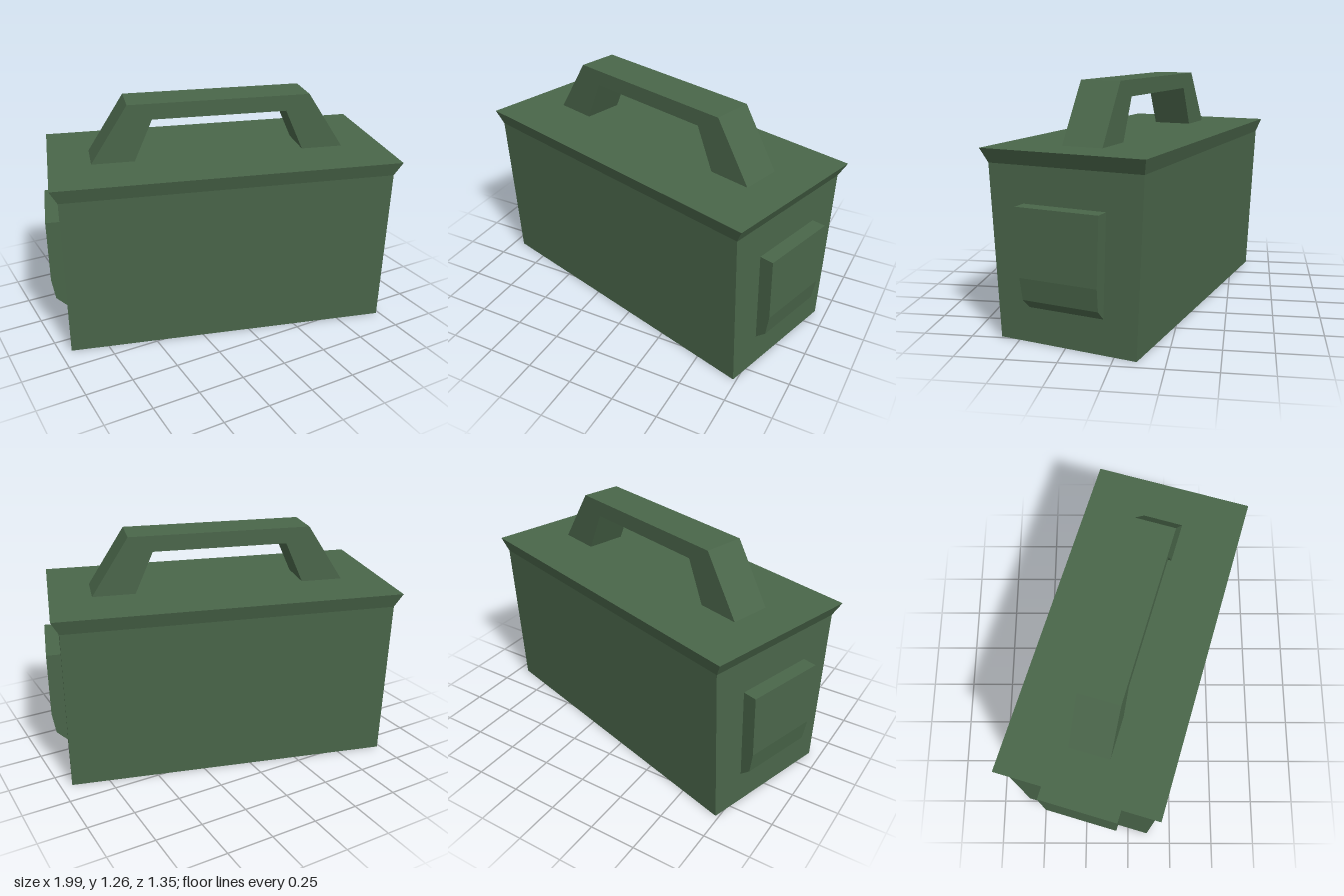
import * as THREE from 'three';

const green = new THREE.MeshStandardMaterial({ color: 0x4a664a, flatShading: true });

function part(name, geometry) {
  const mesh = new THREE.Mesh(geometry, green);
  mesh.name = name;
  return mesh;
}

// Extrudes an outline in the xy plane, centred on z = 0
function extrude(points, depth) {
  const shape = new THREE.Shape(points.map(([x, y]) => new THREE.Vector2(x, y)));
  return new THREE.ExtrudeGeometry(shape, { depth, bevelEnabled: false }).translate(0, 0, -depth / 2);
}

// Case with tapering long sides and a flared rim: [half length, half width, height] per level
function caseGeometry() {
  const levels = [[0.872, 0.371, 0], [0.873, 0.412, 0.88], [0.911, 0.435, 0.955]];
  const geometry = new THREE.BoxGeometry(2, 2, 2, 1, 2, 1).toNonIndexed();
  const pos = geometry.attributes.position;
  for (let i = 0; i < pos.count; i++) {
    const [halfLength, halfWidth, y] = levels[Math.round(pos.getY(i)) + 1];
    pos.setXYZ(i, pos.getX(i) * halfLength, y, pos.getZ(i) * halfWidth);
  }
  geometry.computeVertexNormals();
  return geometry;
}

// End plate with a bent lower edge, narrowing slightly towards the bottom
function plateGeometry() {
  const geometry = extrude([
    [0.868, 0.18], [0.872, 0.18], [0.929, 0.235], [0.947, 0.35], [0.947, 0.695], [0.868, 0.695],
  ], 2);
  const pos = geometry.attributes.position;
  for (let i = 0; i < pos.count; i++) {
    pos.setZ(i, pos.getZ(i) * (0.22 - (0.695 - pos.getY(i)) * 0.037));
  }
  geometry.computeVertexNormals();
  return geometry;
}

export function createModel() {
  const model = new THREE.Group();
  model.name = 'metalCase';

  // The whole case stands turned about the vertical axis
  const body = new THREE.Group();
  body.name = 'turnedCase';
  body.rotation.y = -0.2836;
  model.add(body);

  body.add(part('case', caseGeometry()));

  // Trapezoid carrying handle
  body.add(part('handle', extrude([
    [-0.688, 0.955], [-0.46, 0.955], [-0.362, 1.177], [0.362, 1.177],
    [0.46, 0.955], [0.688, 0.955], [0.489, 1.262], [-0.489, 1.262],
  ], 0.22)));

  // One plate on each end
  ['leftEndPlate', 'rightEndPlate'].forEach((name, i) => {
    const plate = part(name, plateGeometry());
    plate.rotation.y = i * Math.PI;
    body.add(plate);
  });

  return model;
}
